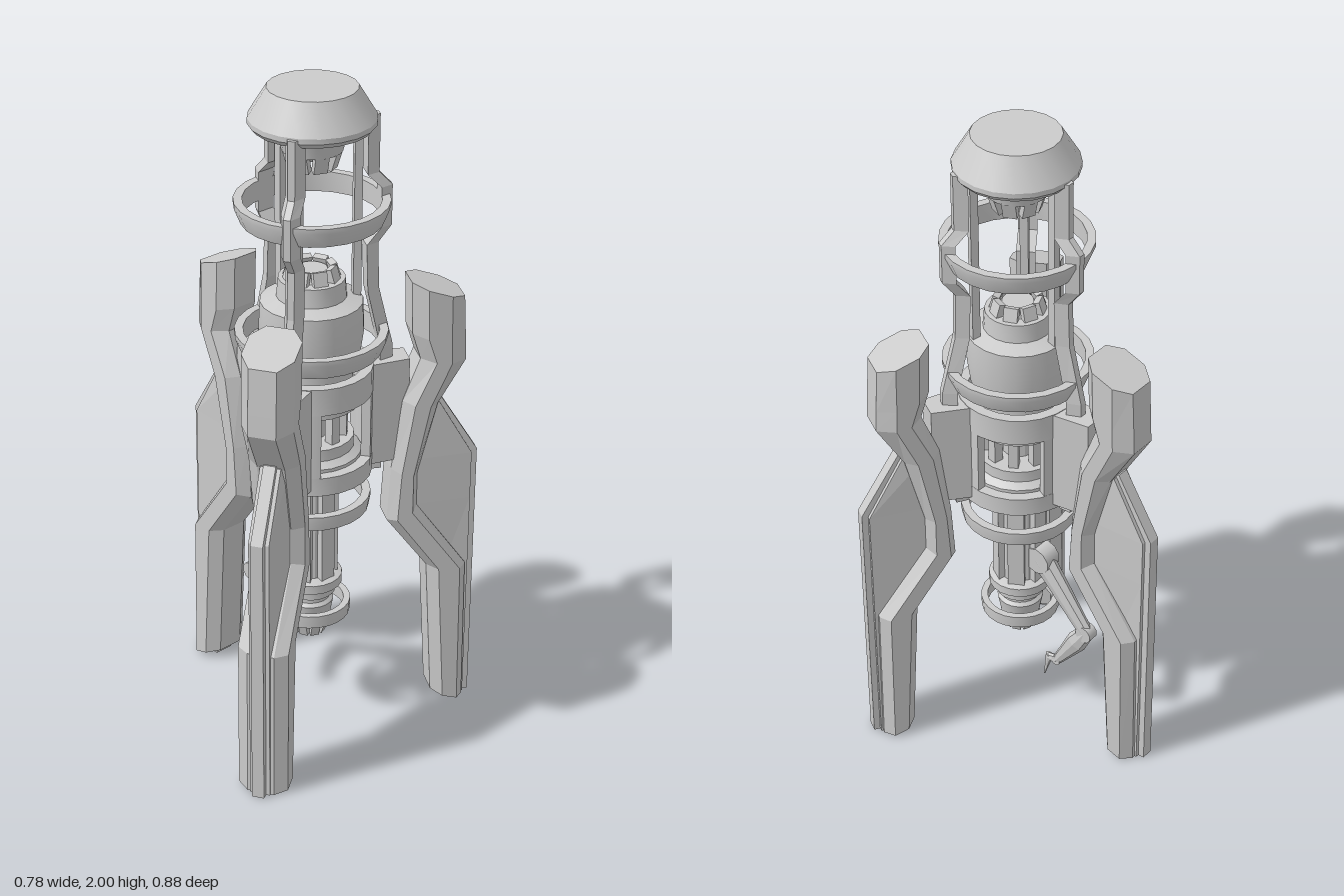
import * as THREE from 'three';
import { toCreasedNormals } from 'three/addons/utils/BufferGeometryUtils.js';

const grey = new THREE.MeshStandardMaterial({ color: 0xcccccc });
const flat = new THREE.MeshStandardMaterial({ color: 0xcccccc, flatShading: true });

function add(parent, name, geometry, material = grey) {
  const mesh = new THREE.Mesh(geometry, material);
  mesh.name = name;
  parent.add(mesh);
  return mesh;
}

// Turned part from [radius, y] pairs, listed bottom to top on the outside
function turned(parent, name, profile, sides = 20) {
  const geo = new THREE.LatheGeometry(profile.map(p => new THREE.Vector2(...p)), sides);
  return add(parent, name, toCreasedNormals(geo, 0.5));
}

// Hoop with a wider top than bottom
function hoop(parent, name, r0, rBottom, rTop, y0, y1) {
  return turned(parent, name, [[r0, y0], [rBottom, y0], [rTop, y1 - 0.015], [rTop, y1], [r0, y1], [r0, y0]], 24);
}

// Curved wall block centred on +x, spanning +-half radians
function wall(parent, name, r0, r1, half, y0, y1) {
  const shape = new THREE.Shape();
  shape.absarc(0, 0, r1, -half, half, false);
  shape.absarc(0, 0, r0, half, -half, true);
  const geo = new THREE.ExtrudeGeometry(shape, { depth: y1 - y0, bevelEnabled: false, curveSegments: 8 });
  geo.rotateX(-Math.PI / 2).translate(0, y0, 0);
  return add(parent, name, toCreasedNormals(geo, 0.5));
}

function box(parent, name, x0, x1, y0, y1, width) {
  const geo = new THREE.BoxGeometry(x1 - x0, y1 - y0, width);
  geo.translate((x0 + x1) / 2, (y0 + y1) / 2, 0);
  return add(parent, name, geo);
}

// Skin over a stack of equal-sized rings, each anticlockwise from above
function loft(rings) {
  const n = rings[0].length, index = [];
  for (let i = 0; i < rings.length - 1; i++) {
    for (let j = 0; j < n; j++) {
      const a = i * n + j, b = i * n + (j + 1) % n;
      index.push(a, b, b + n, a, b + n, a + n);
    }
  }
  const top = (rings.length - 1) * n;
  for (let j = 1; j < n - 1; j++) index.push(0, j + 1, j, top, top + j, top + j + 1);
  const geo = new THREE.BufferGeometry();
  geo.setAttribute('position', new THREE.Float32BufferAttribute(rings.flat(2), 3));
  geo.setIndex(index);
  const out = geo.toNonIndexed();
  out.computeVertexNormals();
  return out;
}

// Upright bar of four-sided sections: [inner r, outer r, y, inner half width, outer half width]
const bar = sections => loft(sections.map(([ri, ro, y, wi, wo]) =>
  [[ro, y, wo], [ro, y, -wo], [ri, y, -wi], [ri, y, wi]]));

// Chamfered leg section: inner and outer edge at their own heights, inner and outer chamfer
function legRing([ri, yi, ro, yo, ci, co]) {
  const W = 0.075, w = 0.04;
  const at = (r, z) => [r, yi + (yo - yi) * (r - ri) / (ro - ri), z];
  const a = ri + ci, b = ro - co;
  return [at(ro, w), at(ro, -w), at(b, -W), at(a, -W), at(ri, -w), at(ri, w), at(a, W), at(b, W)];
}

function makeLeg() {
  const leg = new THREE.Group();
  leg.name = 'leg';
  // Wide limb bending in below the hip and out again to the foot
  add(leg, 'legLimb', loft([
    [0.37, 0.03, 0.47, 0, 0.03, 0.025],
    [0.345, 0.48, 0.465, 0.47, 0.03, 0.025],
    [0.22, 0.65, 0.31, 0.69, 0.025, 0.02],
    [0.23, 0.82, 0.31, 0.80, 0.025, 0.02],
    [0.26, 1.04, 0.365, 1.02, 0.03, 0.03],
    [0.31, 1.17, 0.445, 1.155, 0.04, 0.05],
    [0.285, 1.25, 0.442, 1.22, 0.04, 0.05],
    [0.28, 1.41, 0.435, 1.355, 0.04, 0.045],
  ].map(legRing)), flat);
  // Thin plate filling the outside of the bend
  add(leg, 'legPlate', bar([
    [0.40, 0.476, 0, 0.03, 0.03],
    [0.40, 0.476, 0.46, 0.03, 0.03],
    [0.25, 0.476, 0.69, 0.04, 0.03],
    [0.25, 0.476, 0.84, 0.04, 0.03],
    [0.30, 0.37, 1.025, 0.04, 0.03],
  ]), flat);
  add(leg, 'legSpine', bar([
    [0.42, 0.495, 0, 0.02, 0.018],
    [0.42, 0.495, 0.845, 0.02, 0.018],
    [0.32, 0.378, 1.035, 0.02, 0.018],
  ]), flat);
  return leg;
}

// Everything that repeats around the axis with each leg
function makeSector() {
  const sector = new THREE.Group();
  sector.name = 'sector';
  sector.add(makeLeg());
  wall(sector, 'housingPanel', 0.148, 0.176, 0.47, 0.835, 1.17);
  // Mount joining the housing to the leg
  add(sector, 'legMount', bar([
    [0.16, 0.28, 0.85, 0.055, 0.036],
    [0.16, 0.28, 1.17, 0.055, 0.036],
  ]), flat);
  box(sector, 'mountFoot', 0.165, 0.205, 0.815, 0.87, 0.04);
  box(sector, 'innerRod', 0.117, 0.14, 1.33, 1.9, 0.024);
  add(sector, 'frameStrut', bar([
    [0.195, 0.235, 1.15, 0.028, 0.01],
    [0.195, 0.235, 1.21, 0.028, 0.01],
    [0.155, 0.192, 1.39, 0.028, 0.01],
    [0.15, 0.187, 1.53, 0.028, 0.01],
    [0.19, 0.225, 1.58, 0.028, 0.01],
    [0.19, 0.225, 1.70, 0.028, 0.01],
    [0.15, 0.187, 1.74, 0.028, 0.01],
    [0.15, 0.187, 1.91, 0.028, 0.01],
  ]), flat);
  return sector;
}

// Ring of small leaning teeth
function teeth(parent, name, r, y, height, lean, count = 8) {
  for (let i = 0; i < count; i++) {
    const pivot = new THREE.Group();
    pivot.name = name;
    pivot.rotation.y = (i + 0.5) * 2 * Math.PI / count;
    const tooth = add(pivot, name, new THREE.BoxGeometry(0.02, height, r * 0.62));
    tooth.position.set(r, y, 0);
    tooth.rotation.z = lean;
    parent.add(pivot);
  }
}

// Tapered rod between two points
function limb(parent, name, from, to, r0, r1) {
  const a = new THREE.Vector3(...from), b = new THREE.Vector3(...to), d = b.clone().sub(a);
  const mesh = add(parent, name, new THREE.CylinderGeometry(r1, r0, d.length(), 8), flat);
  mesh.position.copy(a).add(b).multiplyScalar(0.5);
  mesh.quaternion.setFromUnitVectors(new THREE.Vector3(0, 1, 0), d.normalize());
}

function makeArm() {
  const arm = new THREE.Group();
  arm.name = 'arm';
  const shoulder = [-0.085, 0.575, 0], elbow = [-0.255, 0.365, 0], wrist = [-0.145, 0.195, 0];
  for (const [name, p, r] of [['shoulder', shoulder, 0.045], ['elbow', elbow, 0.028], ['wrist', wrist, 0.016]]) {
    const joint = add(arm, name, new THREE.CylinderGeometry(r, r, r * 1.8, 10).rotateX(Math.PI / 2));
    joint.position.set(...p);
  }
  limb(arm, 'upperArm', shoulder, elbow, 0.042, 0.026);
  limb(arm, 'forearm', elbow, [-0.22, 0.31, 0], 0.026, 0.034);
  limb(arm, 'forearm', [-0.22, 0.31, 0], wrist, 0.034, 0.016);
  limb(arm, 'claw', wrist, [-0.113, 0.19, 0], 0.016, 0.014);
  limb(arm, 'claw', [-0.115, 0.2, 0], [-0.095, 0.11, 0], 0.014, 0.002);
  arm.scale.z = 0.7;
  return arm;
}

export function createModel() {
  const model = new THREE.Group();
  model.name = 'tripodMachine';
  const body = new THREE.Group();
  body.name = 'body';
  body.position.x = 0.105;
  model.add(body);

  for (const angle of [Math.PI / 3, Math.PI, -Math.PI / 3]) {
    const sector = makeSector();
    sector.rotation.y = angle;
    body.add(sector);
  }

  // Head with its downward emitter
  turned(body, 'head', [[0, 1.8], [0.05, 1.8], [0.06, 1.82], [0.085, 1.82], [0.095, 1.86], [0.12, 1.875],
    [0.12, 1.89], [0.165, 1.885], [0.178, 1.9], [0.178, 1.915], [0.126, 2.0], [0, 2.0]]);
  teeth(body, 'headTooth', 0.065, 1.80, 0.055, -0.3);

  // Upper core with its crown
  turned(body, 'upperCore', [[0, 1.055], [0.14, 1.055], [0.14, 1.1], [0.12, 1.12], [0.12, 1.19], [0.14, 1.21], [0.15, 1.285],
    [0.146, 1.37], [0.1, 1.385], [0.095, 1.44], [0.06, 1.44], [0.045, 1.465], [0, 1.465]]);
  teeth(body, 'crownTooth', 0.066, 1.45, 0.055, 0.3);

  // Hoops around the frame
  hoop(body, 'upperHoop', 0.193, 0.2, 0.218, 1.615, 1.675);
  hoop(body, 'middleHoop', 0.193, 0.2, 0.218, 1.22, 1.28);
  hoop(body, 'lowerHoop', 0.15, 0.17, 0.175, 0.715, 0.76);
  hoop(body, 'tipHoop', 0.1, 0.118, 0.12, 0.35, 0.39);

  // Housing bands above and below the three windows, and the cage inside
  turned(body, 'housingTopBand', [[0.147, 1.09], [0.178, 1.09], [0.178, 1.172], [0.147, 1.172], [0.147, 1.09]], 24);
  turned(body, 'housingBottomBand', [[0.147, 0.833], [0.178, 0.833], [0.178, 0.89], [0.147, 0.89], [0.147, 0.833]], 24);
  turned(body, 'cageFloor', [[0, 0.84], [0.147, 0.84], [0.147, 0.9], [0.125, 0.915], [0.125, 0.95], [0, 0.95]]);
  turned(body, 'cageCore', [[0.05, 0.94], [0.05, 1.08]], 12);
  for (let i = 0; i < 9; i++) {
    const pillar = box(body, 'cagePillar', 0.075, 0.105, 0.94, 1.08, 0.028);
    pillar.rotation.y = i * 2 * Math.PI / 9;
  }

  // Lower column with ribs, collar and pointed tip
  turned(body, 'column', [[0.066, 0.47], [0.066, 0.85]], 12);
  for (let i = 0; i < 6; i++) {
    const rib = box(body, 'columnRib', 0.05, 0.078, 0.47, 0.84, 0.05);
    rib.rotation.y = i * Math.PI / 3;
  }
  turned(body, 'columnTip', [[0, 0.295], [0.035, 0.295], [0.045, 0.33], [0.06, 0.335], [0.07, 0.39], [0.06, 0.4], [0.06, 0.415],
    [0.075, 0.42], [0.075, 0.445], [0.095, 0.452], [0.095, 0.48], [0.07, 0.49], [0, 0.49]]);
  teeth(body, 'tipTooth', 0.042, 0.305, 0.055, -0.3);

  body.add(makeArm());
  return model;
}
